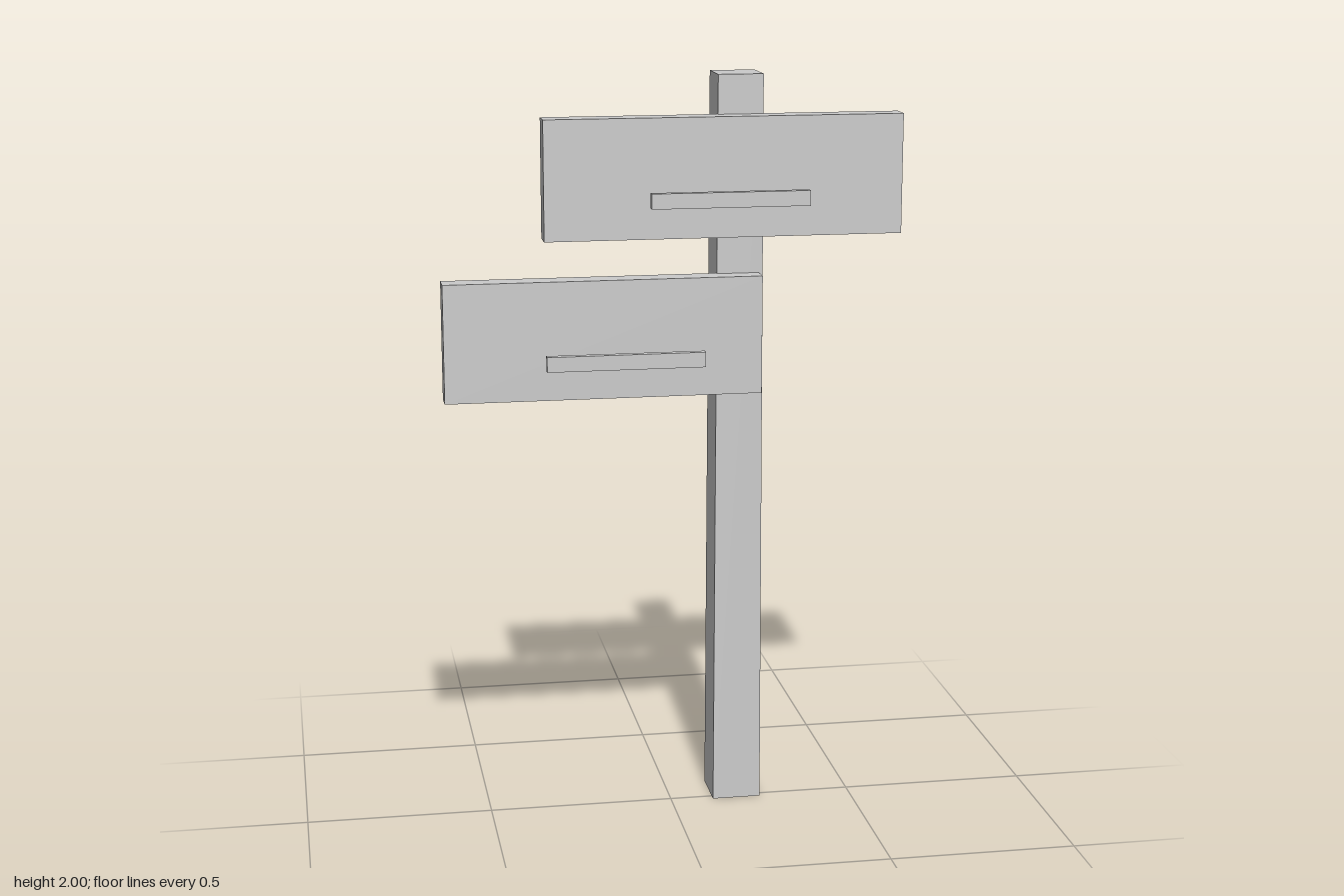
import * as THREE from 'three';

export function createModel() {
  const group = new THREE.Group();
  const material = new THREE.MeshStandardMaterial({ color: 0xcccccc, flatShading: true });

  const add = (name, geometry, x, y, z) => {
    const mesh = new THREE.Mesh(geometry, material);
    mesh.name = name;
    mesh.position.set(x, y, z);
    group.add(mesh);
  };

  // Square post, slightly thicker at the foot
  const postGeometry = new THREE.CylinderGeometry(0.06 * Math.SQRT2, 0.066 * Math.SQRT2, 2, 4);
  postGeometry.rotateY(Math.PI / 4);
  add('post', postGeometry, 0.182, 1, -0.046);

  // Two sign boards, each with a thin bar floating in front
  const signs = [
    { name: 'upper', x: 0.131, y: 1.74, width: 0.946, barX: 0.141 },
    { name: 'lower', x: -0.187, y: 1.322, width: 0.84, barX: -0.134 },
  ];
  for (const { name, x, y, width, barX } of signs) {
    add(name + 'Board', new THREE.BoxGeometry(width, 0.314, 0.063), x, y, 0.037);
    add(name + 'Bar', new THREE.BoxGeometry(0.418, 0.04, 0.02), barX, y - 0.053, 0.1);
  }

  return group;
}
